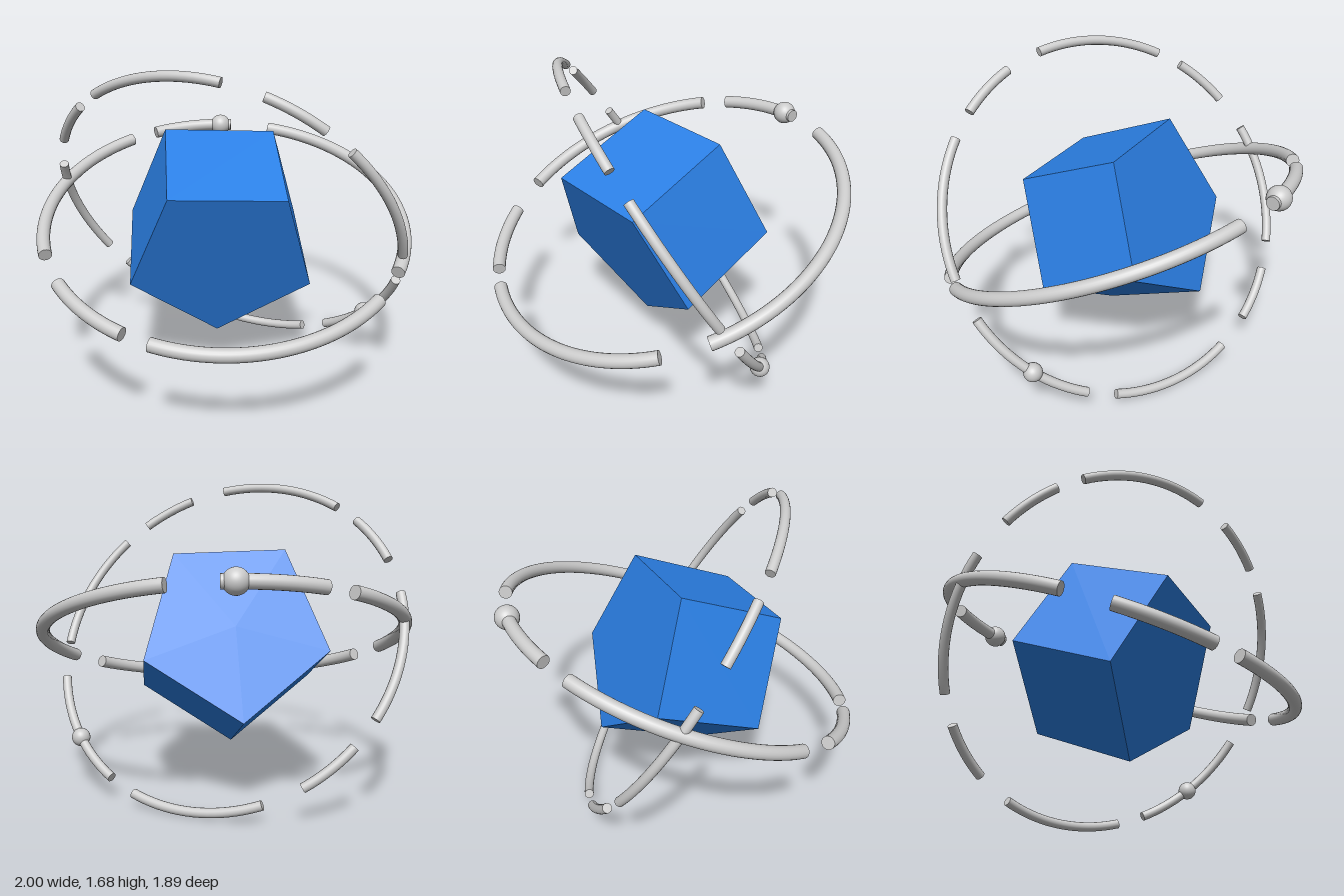
import * as THREE from 'three';
import { mergeGeometries } from 'three/addons/utils/BufferGeometryUtils.js';

const RING_RADIUS = 0.965;
const CENTRE_Y = 0.845;
const rad = THREE.MathUtils.degToRad;

// Capped tube arc lying in the local XY plane, angles in degrees
function arcGeometry(tube, from, to) {
  const a = rad(from), b = rad(to);
  const segments = Math.max(6, Math.ceil((to - from) / 2.5));
  const body = new THREE.TorusGeometry(RING_RADIUS, tube, 20, segments, b - a).rotateZ(a);
  const cap = (angle, tilt) => new THREE.CircleGeometry(tube, 20)
    .rotateX(tilt).translate(RING_RADIUS, 0, 0).rotateZ(angle);
  return mergeGeometries([body, cap(a, Math.PI / 2), cap(b, -Math.PI / 2)]);
}

// Dashed orbit ring with a small ball riding on one dash
function dashedRing(name, normal, tube, dashes, ballAngle, ballRadius, material) {
  const ring = new THREE.Group();
  ring.name = name;
  const n = normal.clone().normalize();
  const u = new THREE.Vector3(1, 0, 0).addScaledVector(n, -n.x).normalize();
  const v = new THREE.Vector3().crossVectors(n, u);
  ring.quaternion.setFromRotationMatrix(new THREE.Matrix4().makeBasis(u, v, n));
  ring.position.y = CENTRE_Y;

  for (const [from, to] of dashes) {
    const dash = new THREE.Mesh(arcGeometry(tube, from, to), material);
    dash.name = name + 'Dash';
    ring.add(dash);
  }

  const ball = new THREE.Mesh(new THREE.SphereGeometry(ballRadius, 32, 20), material);
  ball.name = name + 'Ball';
  const t = rad(ballAngle);
  ball.position.set(RING_RADIUS * Math.cos(t), RING_RADIUS * Math.sin(t), 0);
  ring.add(ball);
  return ring;
}

export function createModel() {
  const model = new THREE.Group();
  model.name = 'orbitedPrism';
  const grey = new THREE.MeshStandardMaterial({ color: 0xcccccc });
  const blue = new THREE.MeshStandardMaterial({ color: 0x2b80e6, flatShading: true });

  // Pentagonal prism, leaning back with a corner pointing down
  const prism = new THREE.Mesh(new THREE.CylinderGeometry(0.5, 0.5, 0.616, 5), blue);
  prism.name = 'pentagonalPrism';
  const axis = new THREE.Vector3(0.045, -0.39, 0.92).normalize();
  const side = new THREE.Vector3(0.997, -0.034, -0.058).addScaledVector(axis, -0.005).normalize();
  const down = new THREE.Vector3().crossVectors(side, axis);
  prism.quaternion.setFromRotationMatrix(new THREE.Matrix4().makeBasis(side, axis, down));
  prism.position.set(-0.029, 0.815, -0.003);
  model.add(prism);

  // Thick ring, tilted towards the front
  const tilt = rad(22);
  model.add(dashedRing('thickRing', new THREE.Vector3(0, -Math.cos(tilt), -Math.sin(tilt)), 0.035,
    [[-71.7, 27], [41, 112], [120.5, 149], [163, 235.5], [245, 274]], 270, 0.062, grey));

  // Thin ring, steep and leaning to the side
  model.add(dashedRing('thinRing', new THREE.Vector3(0.371, 0.532, -0.761), 0.025,
    [[4.6, 47.4], [57.1, 99.7], [112.4, 131.4], [141.3, 183.5], [196.2, 215.2],
      [224.2, 268], [280.3, 299.1], [308.4, 351.5]], 28.3, 0.05, grey));

  return model;
}
